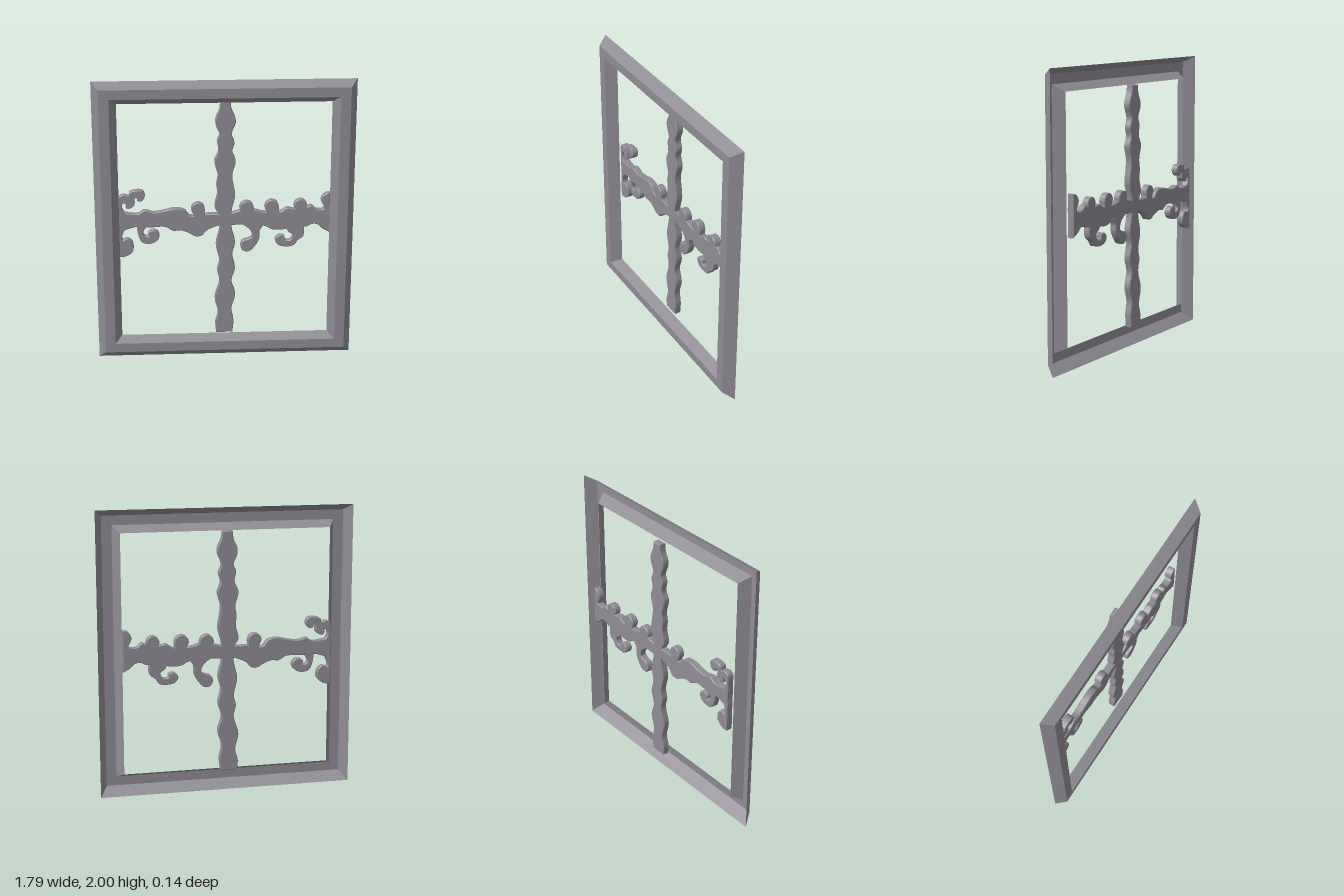
import * as THREE from 'three';
import { toCreasedNormals } from 'three/addons/utils/BufferGeometryUtils.js';

const COLOR = 0x8f8c94;
const metal = new THREE.MeshStandardMaterial({ color: COLOR });
const metalDouble = new THREE.MeshStandardMaterial({ color: COLOR, side: THREE.DoubleSide });

const HALF_SPAN = 0.734; // ornament ends flush with the frame opening
const BACK = -0.068, THICK = 0.05, BEVEL = 0.005;

// Flat list in hundredths of a unit -> smooth run of points
function smooth(list, closed = false, steps = 4) {
  const pts = [];
  for (let i = 0; i < list.length; i += 2) {
    pts.push(new THREE.Vector3(list[i] / 100 + 0.003, list[i + 1] / 100, 0));
  }
  const curve = new THREE.CatmullRomCurve3(pts, closed, 'centripetal');
  const out = curve.getPoints(steps * (pts.length - (closed ? 0 : 1)));
  if (closed) out.pop();
  return out.map((p) => new THREE.Vector2(THREE.MathUtils.clamp(p.x, -HALF_SPAN, HALF_SPAN), p.y));
}

// Thin plate with slightly eased edges, cut to an outline
function plate(name, outline) {
  const geometry = new THREE.ExtrudeGeometry(new THREE.Shape(outline), {
    depth: THICK - 2 * BEVEL, bevelEnabled: true, bevelSegments: 1,
    bevelSize: BEVEL, bevelOffset: -BEVEL, bevelThickness: BEVEL,
  });
  geometry.translate(0, 0, BACK + BEVEL);
  const mesh = new THREE.Mesh(toCreasedNormals(geometry, 0.6), metal);
  mesh.name = name;
  return mesh;
}

// Hollow moulding with mitred corners, open at the back
function frame() {
  // half width, bottom, top, z : back outer, front outer, front inner, back inner
  const rings = [
    [0.896, 0, 2, -0.008],
    [0.846, 0.06, 1.956, 0.068],
    [0.776, 0.125, 1.89, 0.068],
    [0.73, 0.16, 1.844, -0.008],
  ].map(([w, b, t, z]) => [[-w, b, z], [w, b, z], [w, t, z], [-w, t, z]]);
  const pos = [];
  for (let i = 0; i < 3; i++) {
    for (let k = 0; k < 4; k++) {
      const n = (k + 1) % 4;
      const a = rings[i][k], b = rings[i][n], c = rings[i + 1][n], d = rings[i + 1][k];
      pos.push(...a, ...b, ...c, ...a, ...c, ...d);
    }
  }
  const geometry = new THREE.BufferGeometry();
  geometry.setAttribute('position', new THREE.Float32BufferAttribute(pos, 3));
  geometry.computeVertexNormals();
  const mesh = new THREE.Mesh(geometry, metalDouble);
  mesh.name = 'frame';
  return mesh;
}

export function createModel() {
  const model = new THREE.Group();
  model.name = 'ornamentalWindow';
  model.add(frame());

  const ornament = new THREE.Group();
  ornament.name = 'ornament';
  model.add(ornament);

  // Wavy upright bar: left edge downwards, right edge upwards
  const uprightLeft = [-3.2, 184.6, -3.8, 179, -6.4, 173, -6.2, 168, -3.8, 162, -5.5, 157, -4.5, 150, -7.3, 143,
    -5, 133, -6, 126, -5.3, 120, -7.3, 110, -4.5, 105, -3.8, 95, -6.4, 82, -4, 70, -5.5, 63, -3.9, 55,
    -7.3, 42, -5, 31, -6.9, 23, -6.4, 15.8];
  const uprightRight = [5.2, 15.8, 6, 25, 4.5, 34, 7.2, 45, 4.5, 55, 7, 65, 5, 75, 7, 84, 4.6, 95,
    4.7, 108, 7, 118, 5, 133, 7.3, 143, 5, 150, 6.5, 156, 4.5, 162, 7.3, 170, 6.8, 174, 4.4, 180, 3.8, 184.6];
  ornament.add(plate('uprightBar', [...smooth(uprightLeft), ...smooth(uprightRight)]));

  // Wavy cross bar: lower edge to the right, upper edge back to the left
  const crossLower = [-73.4, 91, -70, 94, -66, 95.5, -60, 96.7, -52, 96, -41.5, 96.2, -36, 93.2, -31, 93.5,
    -25, 91.4, -20.4, 88.8, -16, 89.5, -13.5, 92.5, -9, 95, -3.5, 96.7, 4.5, 96.7, 14, 97, 28, 95.5,
    33, 93, 42, 93, 50, 96, 56, 94.5, 61.5, 96.5, 65, 95.7, 68, 93, 73.4, 90];
  const crossUpper = [73.4, 110, 67.5, 107, 63.2, 107.3, 60, 110, 57, 109, 47.4, 107.8, 43, 108.5, 39, 106,
    25.7, 106, 21, 107.3, 10.3, 107, 4.5, 105.5, -4.5, 105, -13.5, 105, -24.6, 104, -28, 108, -34.7, 109.4,
    -42.6, 107.8, -49.5, 106.8, -56.3, 108.4, -60, 106, -69.6, 106.8, -73.4, 107];
  ornament.add(plate('crossBar', [...smooth(crossLower), ...smooth(crossUpper)]));

  // Buds along the top of the cross bar, overhanging on one side and merging into it on the other
  const budProfile = [-0.5, -1.4, -0.65, -0.8, -1, 0, -0.7, 0.7, 0, 1, 0.7, 0.7, 1, 0, 0.95, -0.6, 1.1, -1.4];
  for (const [x, y, r] of [[-18.8, 108.6, 4.8], [15, 108.9, 5], [32.5, 109.5, 5], [52.5, 109.9, 4.7], [72.5, 113.5, 5.6]]) {
    const outline = budProfile.map((v, i) => (i % 2 ? y : x) + r * v);
    ornament.add(plate('bud', smooth(outline, true, 3)));
  }

  // Scrolling tendrils
  const tendrils = {
    lowerLeftTendril: [-60.5, 98, -60, 89, -57.5, 85, -52, 84, -47, 86.5, -45.7, 90.3, -48, 93.5, -52, 93.5,
      -53.7, 91.5, -53, 89.7, -55.5, 89.5, -57, 92, -56, 94.5, -54, 98],
    lowerMiddleTendril: [9, 99, 14.5, 95.5, 18, 92, 18.8, 87.7, 15.6, 86, 12.4, 85, 10.8, 81.3, 12.4, 77.6,
      16.7, 77, 21, 81, 24, 86.7, 24, 92, 26, 95.6, 25, 99],
    lowerRightTendril: [53, 98, 55, 94.6, 54.8, 87.7, 51, 84.5, 48.4, 81, 43, 80, 37.3, 81.3, 35, 85,
      37.3, 88.2, 41.5, 87.7, 42, 85, 45.8, 85, 47.4, 88.8, 44.2, 91, 43, 94.5, 46, 98],
    edgeLowerTendril: [-73.4, 98, -73.6, 90, -73.6, 82, -73.4, 74.8, -68, 75.5, -64.3, 78.7, -63.8, 82.4,
      -65.3, 86.3, -68.5, 88, -71, 86.8, -71.7, 89.3, -70, 94, -69, 98],
    edgeUpperTendril: [-73.4, 100, -73.6, 109, -73.4, 118, -70, 120, -66.5, 119, -66, 121.5, -61.5, 123,
      -57, 122.5, -55.3, 119, -57.5, 115.3, -60.5, 115.5, -61, 117.5, -62.5, 117, -62.5, 112.5, -66, 110,
      -68.5, 110.5, -69, 114, -71, 113, -71, 109, -69, 106, -68, 100],
  };
  for (const [name, list] of Object.entries(tendrils)) ornament.add(plate(name, smooth(list, true)));

  return model;
}
